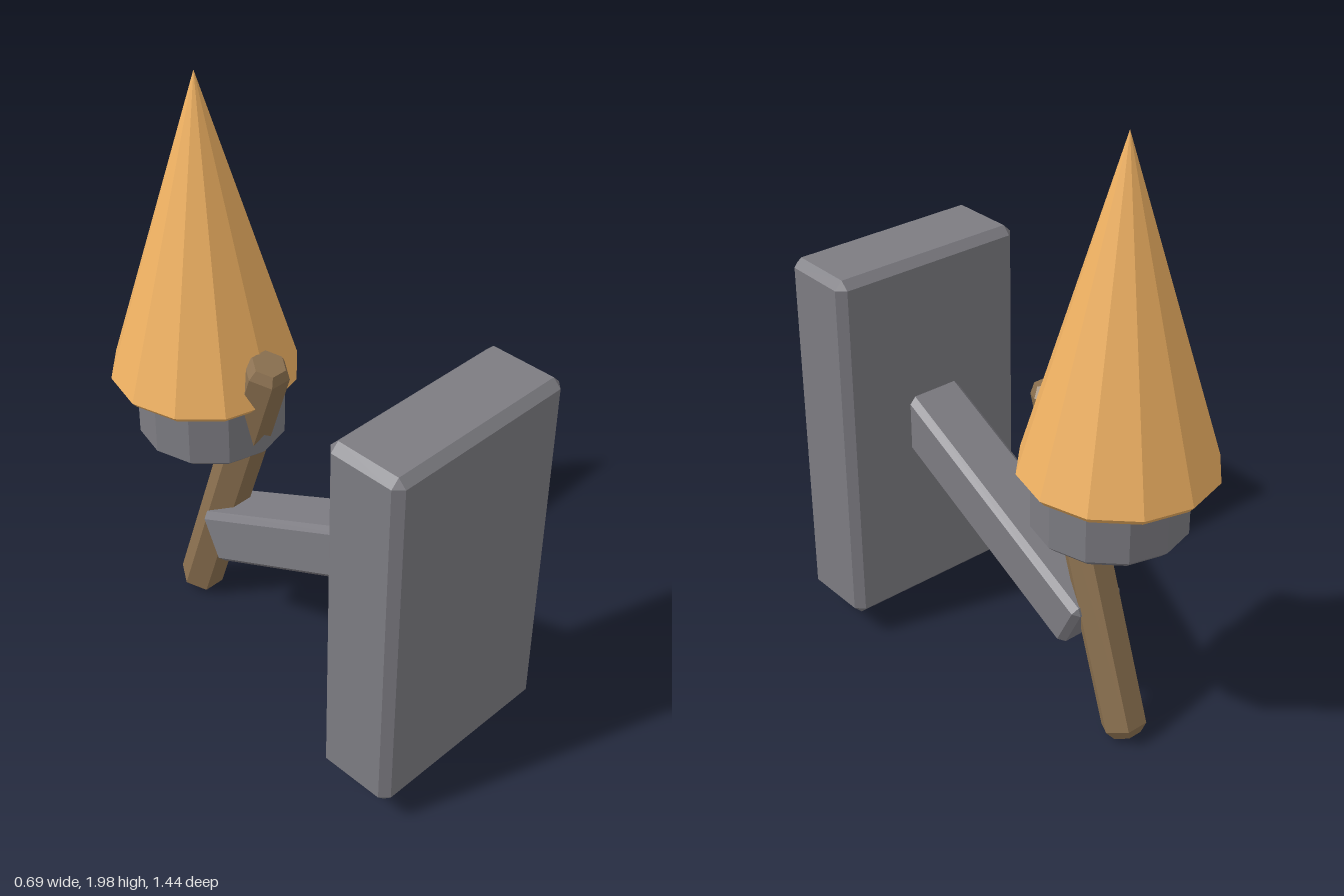
import * as THREE from 'three';
import { ConvexGeometry } from 'three/addons/geometries/ConvexGeometry.js';

const material = (color) => new THREE.MeshStandardMaterial({ color, flatShading: true });

// Box with every edge and corner cut off by c
function chamferBox(w, h, d, c) {
  const pts = [];
  for (const x of [-w / 2, w / 2]) for (const y of [-h / 2, h / 2]) for (const z of [-d / 2, d / 2]) {
    const ix = x - Math.sign(x) * c, iy = y - Math.sign(y) * c, iz = z - Math.sign(z) * c;
    pts.push(new THREE.Vector3(x, iy, iz), new THREE.Vector3(ix, y, iz), new THREE.Vector3(ix, iy, z));
  }
  return new ConvexGeometry(pts);
}

// Faceted solid turned from [radius, y] pairs, listed bottom to top
function turned(profile, sides) {
  const pts = profile.map(([r, y]) => new THREE.Vector2(r, y));
  return new THREE.LatheGeometry(pts, sides, Math.PI / 2);
}

export function createModel() {
  const group = new THREE.Group();
  const iron = material(0x7d7c82);
  const wood = material(0x8c7150);
  const fire = material(0xf0b263);

  const add = (name, geometry, mat, y, z, tilt = 0) => {
    const mesh = new THREE.Mesh(geometry, mat);
    mesh.name = name;
    mesh.position.set(0, y, z);
    mesh.rotation.x = tilt;
    group.add(mesh);
  };

  // Upright mounting plate and the sloping arm that leaves its back
  add('wallPlate', chamferBox(0.69, 1.24, 0.272, 0.027), iron, 0.72, 0.584);
  add('arm', chamferBox(0.2, 0.185, 1.0, 0.02), iron, 0.597, 0.123, -0.46);

  // Leaning six-sided handle with bevelled ends
  add('handle', turned([
    [0, -0.582], [0.05, -0.582], [0.075, -0.55], [0.075, 0.55], [0.055, 0.582], [0, 0.582],
  ], 6), wood, 0.582, -0.307, 0.32);

  // Cup that holds the flame
  add('cup', turned([
    [0, 0.762], [0.215, 0.762], [0.24, 0.785], [0.24, 0.99], [0, 0.99],
  ], 12), iron, 0, -0.39);

  // Pointed flame with a thin lip under its rim
  add('flame', turned([
    [0, 0.965], [0.285, 0.965], [0.302, 0.985], [0, 2],
  ], 12), fire, 0, -0.42);

  return group;
}
